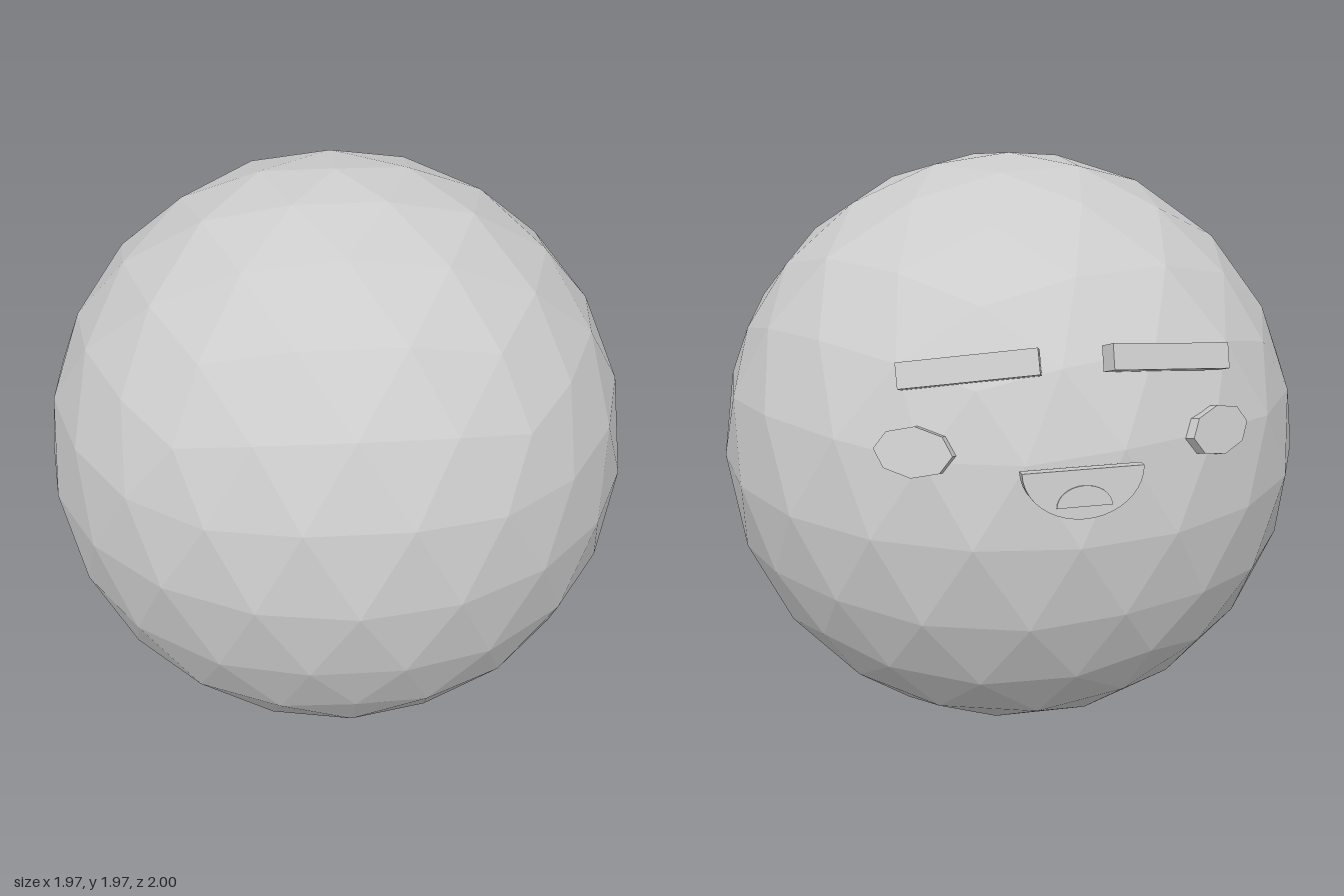
import * as THREE from 'three';

const RADIUS = 0.985;
const CENTRE = new THREE.Vector3(0, RADIUS, 0.015);

export function createModel() {
  const model = new THREE.Group();
  const grey = new THREE.MeshStandardMaterial({ color: 0xcccccc, flatShading: true });
  grey.name = 'light grey';

  const add = (name, geometry, parent = model) => {
    const mesh = new THREE.Mesh(geometry, grey);
    mesh.name = name;
    parent.add(mesh);
    return mesh;
  };

  // Turn an object so that its local z points along a direction, keeping x level
  const face = (object, dir) => {
    object.rotation.order = 'YXZ';
    object.rotation.set(-Math.asin(dir.y), Math.atan2(dir.x, dir.z), 0);
  };

  // Faceted ball with a corner at each pole
  const ball = new THREE.IcosahedronGeometry(RADIUS, 3);
  ball.rotateZ(-Math.atan(2 / (1 + Math.sqrt(5))));
  add('ball', ball).position.copy(CENTRE);

  for (const [side, s] of [['left', 1], ['right', -1]]) {
    // Eye: flat eight-sided oval lying on the ball
    const eyeDir = new THREE.Vector3(0.455 * s, 0.277, -0.845).normalize();
    const eyeGeo = new THREE.CylinderGeometry(1, 1, 0.036, 8);
    eyeGeo.rotateY(Math.PI / 2).rotateX(Math.PI / 2).scale(0.118, 0.073, 1);
    const eye = add(side + 'Eye', eyeGeo);
    eye.position.copy(CENTRE).addScaledVector(eyeDir, 0.982);
    face(eye, eyeDir);

    // Eyebrow: bar from inner to outer end, drooping outwards
    const inner = new THREE.Vector3(0.098 * s, 1.51, -0.855);
    const outer = new THREE.Vector3(0.48 * s, 1.46, -0.748);
    const along = outer.clone().sub(inner);
    const length = along.length();
    along.normalize().multiplyScalar(s);
    const up = new THREE.Vector3(0, 0.07, 0.027);
    up.addScaledVector(along, -up.dot(along)).normalize();
    const out = new THREE.Vector3().crossVectors(along, up);
    const brow = add(side + 'Eyebrow', new THREE.BoxGeometry(length, 0.075, 0.057));
    brow.quaternion.setFromRotationMatrix(new THREE.Matrix4().makeBasis(along, up, out));
    brow.position.addVectors(inner, outer).multiplyScalar(0.5);
  }

  // Mouth: half oval with a straight top edge
  const mouth = new THREE.Group();
  mouth.name = 'mouth';
  mouth.position.set(0, 1.23, -0.976);
  face(mouth, new THREE.Vector3(0, 0.15, -1).normalize());
  model.add(mouth);

  const lips = new THREE.Shape();
  lips.absellipse(0, 0, 0.175, 0.142, Math.PI, Math.PI * 2, false);
  lips.closePath();
  const lipsGeo = new THREE.ExtrudeGeometry(lips, { depth: 0.037, bevelEnabled: false, curveSegments: 10 });
  add('mouthPlate', lipsGeo.translate(0, 0, -0.037), mouth);

  // Tongue: thin mound rising from the bottom of the mouth
  const tongue = new THREE.Shape();
  tongue.absellipse(0, -0.105, 0.08, 0.06, 0, Math.PI, false);
  tongue.closePath();
  const tongueGeo = new THREE.ExtrudeGeometry(tongue, { depth: 0.004, bevelEnabled: false, curveSegments: 8 });
  add('tongue', tongueGeo, mouth);

  return model;
}
